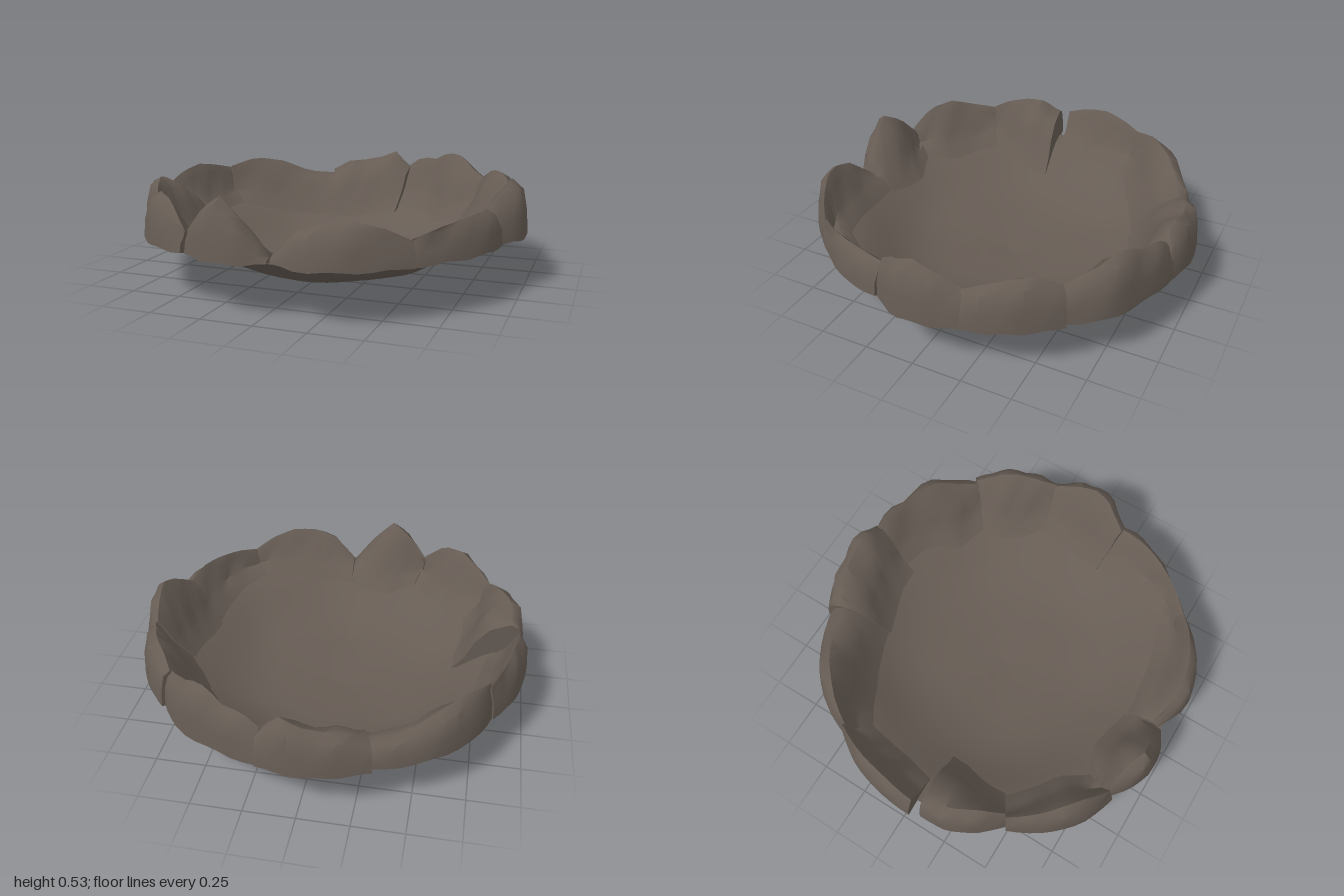
import * as THREE from 'three';
import { toCreasedNormals } from 'three/addons/utils/BufferGeometryUtils.js';

const clay = new THREE.MeshStandardMaterial({ color: 0x665c54, side: THREE.DoubleSide });
clay.name = 'clay';

// Bowl profile as [radius, height]
const PROFILE = [[0, 0.003], [0.15, 0.018], [0.32, 0.03], [0.45, 0.05], [0.55, 0.085],
  [0.63, 0.128], [0.7, 0.172], [0.77, 0.215], [0.83, 0.243], [0.92, 0.256]];

function bowlHeight(r) {
  for (let i = 1; i < PROFILE.length; i++) {
    const [r0, y0] = PROFILE[i - 1], [r1, y1] = PROFILE[i];
    if (r <= r1) return y0 + (y1 - y0) * (r - r0) / (r1 - r0);
  }
  return 0.256;
}

// Piecewise linear sampling of evenly spaced values, t in 0..1
function sample(values, t) {
  const f = t * (values.length - 1);
  const i = Math.min(Math.floor(f), values.length - 2);
  return THREE.MathUtils.lerp(values[i], values[i + 1], f - i);
}

// Shallow dish with a slightly uneven, hand-worked surface
function makeBowl() {
  const geo = new THREE.LatheGeometry(PROFILE.map(([r, y]) => new THREE.Vector2(r, y)), 44);
  const p = geo.attributes.position;
  for (let i = 0; i < p.count; i++) {
    const x = p.getX(i), z = p.getZ(i), r = Math.hypot(x, z);
    const lump = Math.sin(9 * x + 2 * z) * Math.sin(8 * z - 3 * x + 1);
    p.setY(i, p.getY(i) + 0.008 * lump * Math.min(1, r * 2) * (r < 0.8 ? 1 : 0));
  }
  geo.computeVertexNormals();
  const mesh = new THREE.Mesh(geo, clay);
  mesh.name = 'bowl';
  return mesh;
}

// One rim stone: closed cross-sections swept along an arc, its inside flowing into the bowl
function makeStone(fromDeg, toDeg, outer, inner, tops, seed) {
  const N = 10, pos = [], idx = [];
  let M = 0;
  for (let i = 0; i <= N; i++) {
    const t = i / N, a = THREE.MathUtils.degToRad(fromDeg + (toDeg - fromDeg) * t);
    const ro = sample(outer, t), ri = sample(inner, t), top = sample(tops, t);
    const w = ro - ri, h = top - 0.255;
    const wob = Math.sin(seed * 2.3 + i * 1.7);
    const section = [
      [ro, 0.252 + 0.005 * wob],
      [ro - 0.008, 0.255 + h * 0.45],
      [ro - 0.035 - 0.008 * wob, top - h * 0.12],
      [ro - Math.min(0.08, w * 0.42), top],
      [ri + w * (0.36 + 0.04 * wob), top - h * 0.22],
      [ri + w * 0.1, 0.255 + h * (0.3 + 0.06 * wob)],
      [ri - 0.02, bowlHeight(ri - 0.02) + 0.04],
      [ri - 0.08, bowlHeight(ri - 0.08) + 0.006],
      [ro - 0.06, 0.268],
    ];
    M = section.length;
    for (const [r, y] of section) pos.push(r * Math.cos(a), y, r * Math.sin(a));
  }
  for (let i = 0; i < N; i++) {
    for (let j = 0; j < M; j++) {
      const a = i * M + j, b = i * M + (j + 1) % M;
      idx.push(a, b, a + M, b, b + M, a + M);
    }
  }
  // End caps
  for (let j = 1; j < M - 1; j++) {
    const e = N * M;
    idx.push(0, j + 1, j, e, e + j, e + j + 1);
  }
  const geo = new THREE.BufferGeometry();
  geo.setAttribute('position', new THREE.Float32BufferAttribute(pos, 3));
  geo.setIndex(idx);
  const mesh = new THREE.Mesh(toCreasedNormals(geo, 0.9), clay);
  mesh.name = 'rimStone' + seed;
  return mesh;
}

export function createModel() {
  const model = new THREE.Group();
  model.name = 'stoneRimmedBowl';
  model.add(makeBowl());

  // Each stone: start and end angle, then outer radii, inner radii and top heights along it
  const rim = new THREE.Group();
  rim.name = 'rim';
  let n = 1;
  const stone = (...args) => rim.add(makeStone(...args, n++));
  stone(14, 51, [0.95, 0.975, 0.97, 0.98], [0.79, 0.83, 0.88, 0.91], [0.41, 0.43, 0.42, 0.4, 0.36]);
  stone(49, 87.5, [0.98, 1.0, 1.01, 1.0, 0.9], [0.91, 0.86, 0.82, 0.81], [0.36, 0.42, 0.455, 0.445, 0.4, 0.29]);
  stone(88, 116, [0.92, 0.98, 0.995, 0.98, 0.94], [0.8, 0.77, 0.77, 0.87], [0.28, 0.42, 0.53, 0.47, 0.35]);
  stone(115, 148, [0.97, 1.0, 0.99, 0.96], [0.89, 0.81, 0.83, 0.86], [0.35, 0.47, 0.49, 0.45, 0.42]);
  stone(148, 173.5, [0.94, 0.98, 1.0, 0.98], [0.85, 0.79, 0.72, 0.7], [0.43, 0.47, 0.48, 0.47, 0.42]);
  stone(176.5, 208, [1.0, 0.99, 0.98, 0.95], [0.87, 0.84, 0.85, 0.88], [0.41, 0.46, 0.48, 0.46, 0.43]);
  stone(207, 251, [0.94, 0.97, 0.97, 0.96, 0.94], [0.87, 0.78, 0.74, 0.72], [0.44, 0.48, 0.45, 0.38, 0.37]);
  stone(250, 281.5, [0.96, 0.98, 0.99, 0.97], [0.71, 0.72, 0.75, 0.77], [0.39, 0.44, 0.45, 0.47, 0.51, 0.42]);
  stone(281, 320, [0.97, 0.97, 0.99, 0.95], [0.82, 0.82, 0.75, 0.82], [0.43, 0.49, 0.48, 0.525, 0.535, 0.49, 0.45, 0.43]);
  stone(319, 347, [0.97, 0.985, 0.99, 0.98], [0.82, 0.76, 0.78, 0.84], [0.44, 0.49, 0.49, 0.46, 0.43]);
  stone(346.5, 375, [0.98, 1.0, 1.0, 0.93], [0.82, 0.8, 0.78, 0.78], [0.43, 0.49, 0.535, 0.49, 0.42]);
  model.add(rim);
  return model;
}
